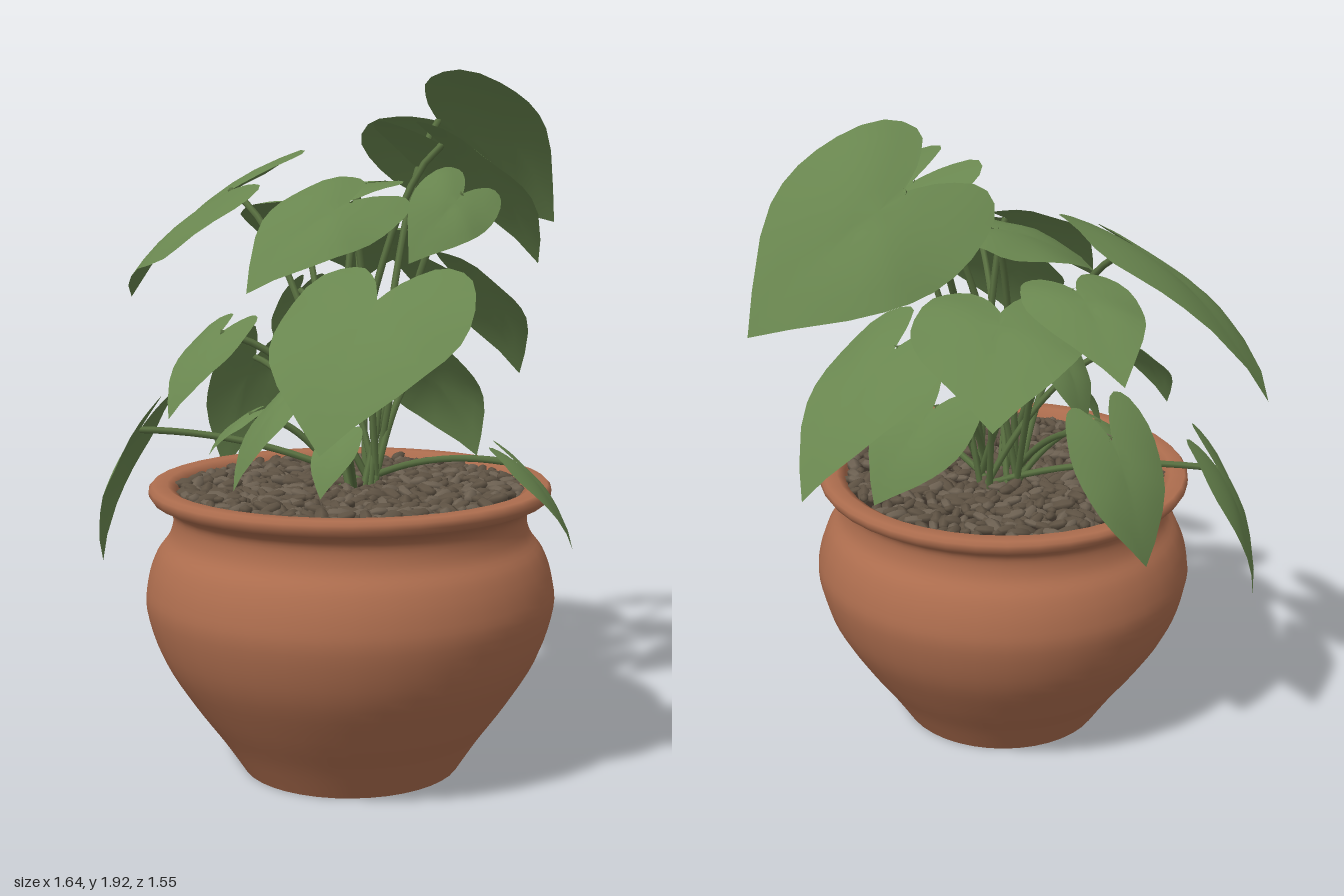
import * as THREE from 'three';
import { mergeGeometries } from 'three/addons/utils/BufferGeometryUtils.js';

const POT_X = 0.11, POT_Z = 0.22;

function material(name, color, side = THREE.FrontSide) {
  const m = new THREE.MeshStandardMaterial({ color, side });
  m.name = name;
  return m;
}

function seeded(seed) {
  return () => {
    seed = (seed * 16807) % 2147483647;
    return seed / 2147483647;
  };
}

// Heart-shaped blade outline: x across (-1 to 1), y along, notch at 0, tip at 1
function bladeOutline() {
  const half = [[0, 0], [0.16, -0.17], [0.45, -0.31], [0.78, -0.24], [0.98, 0.02],
    [0.95, 0.3], [0.7, 0.58], [0, 1]].map(([s, t]) => new THREE.Vector2(s, t));
  const right = new THREE.SplineCurve(half).getPoints(16);
  const left = right.slice(1, -1).reverse().map((p) => new THREE.Vector2(-p.x, p.y));
  return [...right, ...left];
}

// Blade made of concentric rings, arched along and domed across.
// It lies level across its length unless rolled.
function leafGeometry(base, tip, width, roll) {
  const L = tip.clone().sub(base), size = L.length();
  const half = width ?? 0.4 * size;
  const side = new THREE.Vector3(-L.z, 0, L.x).normalize();
  side.applyAxisAngle(L.clone().normalize(), roll).multiplyScalar(half);
  const N = new THREE.Vector3().crossVectors(side, L).normalize();
  const outline = bladeOutline(), n = outline.length, rings = 5, mid = 0.16;
  const pos = [], idx = [];
  const put = (s, t) => {
    const h = 0.3 * size * t * (1 - t) - 0.22 * half * s * s + 0.1 * half * Math.abs(s)
      + 0.03 * half * Math.sin(t * 9 + s * 4) * Math.abs(s);
    const p = base.clone().addScaledVector(side, s).addScaledVector(L, t).addScaledVector(N, h);
    pos.push(p.x, p.y, p.z);
  };
  put(0, mid);
  for (let r = 1; r <= rings; r++) {
    for (const o of outline) put(o.x * r / rings, mid + (o.y - mid) * r / rings);
  }
  for (let i = 0; i < n; i++) {
    const j = (i + 1) % n;
    idx.push(0, 1 + i, 1 + j);
    for (let r = 0; r < rings - 1; r++) {
      const a = 1 + r * n, b = a + n;
      idx.push(a + i, b + i, b + j, a + i, b + j, a + j);
    }
  }
  const g = new THREE.BufferGeometry();
  g.setAttribute('position', new THREE.Float32BufferAttribute(pos, 3));
  g.setIndex(idx);
  g.computeVertexNormals();
  return g;
}

// Notch and tip of each leaf; half width and roll only where they differ from the rule
const LEAVES = [
  { name: 'tallBackLeaf', base: [-0.2, 1.78, -0.34], tip: [-0.15, 1.47, -0.77], width: 0.25, roll: -0.72 },
  { name: 'upperBackLeaf', base: [0.11, 1.71, -0.1], tip: [0.15, 1.37, -0.43], width: 0.22 },
  { name: 'upperRightLeaf', base: [0.25, 1.58, -0.06], tip: [0.29, 1.4, 0.16], roll: -0.7 },
  { name: 'bigLeftLeaf', base: [-0.4, 1.58, 0.27], tip: [-0.81, 1.25, 0.37], width: 0.29, roll: -0.45 },
  { name: 'bigRightLeaf', base: [0.56, 1.34, 0.47], tip: [0.68, 1, 0.73], width: 0.26 },
  { name: 'upperFrontLeaf', base: [0.11, 1.56, 0.22], tip: [0.12, 1.33, 0.56], roll: -0.4 },
  { name: 'middleLeaf', base: [-0.08, 1.6, 0.04], tip: [-0.22, 1.46, 0.29], width: 0.2 },
  { name: 'backLeftLeaf', base: [-0.33, 1.46, -0.13], tip: [-0.63, 1.28, -0.38], width: 0.23 },
  { name: 'lowBackLeaf', base: [-0.12, 1.34, -0.32], tip: [-0.16, 1, -0.64] },
  { name: 'farLeftLeaf', base: [-0.5, 1.54, -0.02], tip: [-0.82, 1.4, -0.13] },
  { name: 'frontDroopingLeaf', base: [-0.46, 0.9, 0.55], tip: [-0.55, 0.51, 0.63], width: 0.12 },
  { name: 'sideDroopingLeaf', base: [-0.46, 1.08, 0.15], tip: [-0.56, 0.73, 0.2], width: 0.13, roll: 0.6 },
  { name: 'rimLeaf', base: [0.62, 0.9, 0.06], tip: [0.72, 0.68, -0.04] },
  { name: 'innerBackLeaf', base: [0.02, 1.08, -0.1], tip: [0.07, 0.81, -0.27], width: 0.15, roll: -0.6 },
  { name: 'frontLeaf', base: [0.17, 1.06, 0.47], tip: [0.14, 0.82, 0.62], width: 0.09 },
  { name: 'frontLeftLeaf', base: [-0.15, 1.2, 0.47], tip: [-0.13, 0.98, 0.65], width: 0.1 },
  { name: 'smallRightLeaf', base: [0.33, 0.96, 0.42], tip: [0.36, 0.82, 0.5] },
  { name: 'smallLeftLeaf', base: [-0.12, 0.97, 0.4], tip: [-0.17, 0.86, 0.5] },
  { name: 'innerLeftLeaf', base: [-0.3, 1.29, 0.1], tip: [-0.38, 1.1, 0.12] },
];

export function createModel() {
  const model = new THREE.Group();
  model.name = 'pottedPlant';
  const clay = material('terracotta', 0xad6d4e);
  const soilMat = material('darkSoil', 0x362d25);
  const stoneMats = [material('brownStone', 0x5f5344), material('greyStone', 0x6d6152)];
  const leafMat = material('leafGreen', 0x69864f, THREE.DoubleSide);
  const stemMat = material('stemGreen', 0x586f40);
  const random = seeded(4711);
  const add = (parent, name, geometry, mat) => {
    const mesh = new THREE.Mesh(geometry, mat);
    mesh.name = name;
    parent.add(mesh);
  };

  // Pot: rounded body, narrow neck and flared rim
  const toPoints = (list) => list.map(([r, y]) => new THREE.Vector2(r, y));
  const body = new THREE.SplineCurve(toPoints([[0.3, 0], [0.36, 0.09], [0.44, 0.2], [0.52, 0.33],
    [0.56, 0.46], [0.555, 0.54], [0.53, 0.61], [0.495, 0.66], [0.485, 0.71], [0.5, 0.74],
    [0.54, 0.76]])).getPoints(40);
  const rim = toPoints([[0.55, 0.775], [0.55, 0.79], [0.54, 0.8], [0.5, 0.8], [0.475, 0.785], [0.46, 0.72]]);
  const pot = new THREE.Group();
  pot.name = 'pot';
  pot.position.set(POT_X, 0, POT_Z);
  model.add(pot);
  add(pot, 'potWall', new THREE.LatheGeometry([...body, ...rim], 40), clay);
  add(pot, 'potBase', new THREE.CircleGeometry(0.3, 40).rotateX(Math.PI / 2), clay);
  add(pot, 'soil', new THREE.CircleGeometry(0.475, 40).rotateX(-Math.PI / 2).translate(0, 0.755, 0), soilMat);

  // Pebbles spread evenly in a spiral, each turned and sized differently
  const stones = [[], []];
  const count = 600;
  for (let i = 0; i < count; i++) {
    const r = 0.465 * Math.sqrt((i + 0.5) / count), a = i * 2.39996;
    const size = 0.75 + random() * 0.5;
    const g = new THREE.SphereGeometry(1, 6, 4);
    g.rotateZ(Math.PI / 2);
    g.scale(0.033 * size, 0.014 * size, 0.017 * size);
    g.rotateZ((random() - 0.5) * 0.9);
    g.rotateY(random() * Math.PI);
    g.translate(r * Math.cos(a), 0.77 + random() * 0.018, r * Math.sin(a));
    stones[i % 3 ? 0 : 1].push(g);
  }
  stones.forEach((set, i) => add(pot, 'pebbles', mergeGeometries(set), stoneMats[i]));

  // Leaves, each on an arching stem from the middle of the pot
  LEAVES.forEach(({ name, base, tip, width, roll = 0 }, i) => {
    const notch = new THREE.Vector3(...base);
    const leaf = new THREE.Group();
    leaf.name = name;
    model.add(leaf);
    add(leaf, 'blade', leafGeometry(notch, new THREE.Vector3(...tip), width, roll), leafMat);
    const angle = i * 2.4;
    const root = new THREE.Vector3(0.07 + 0.06 * Math.cos(angle), 0.76, 0.17 + 0.06 * Math.sin(angle));
    const bend = root.clone().lerp(notch, 0.45);
    bend.y = THREE.MathUtils.lerp(root.y, notch.y, 0.85) + 0.03;
    const path = new THREE.QuadraticBezierCurve3(root, bend, notch);
    add(leaf, 'stem', new THREE.TubeGeometry(path, 14, 0.01, 6), stemMat);
  });
  return model;
}
